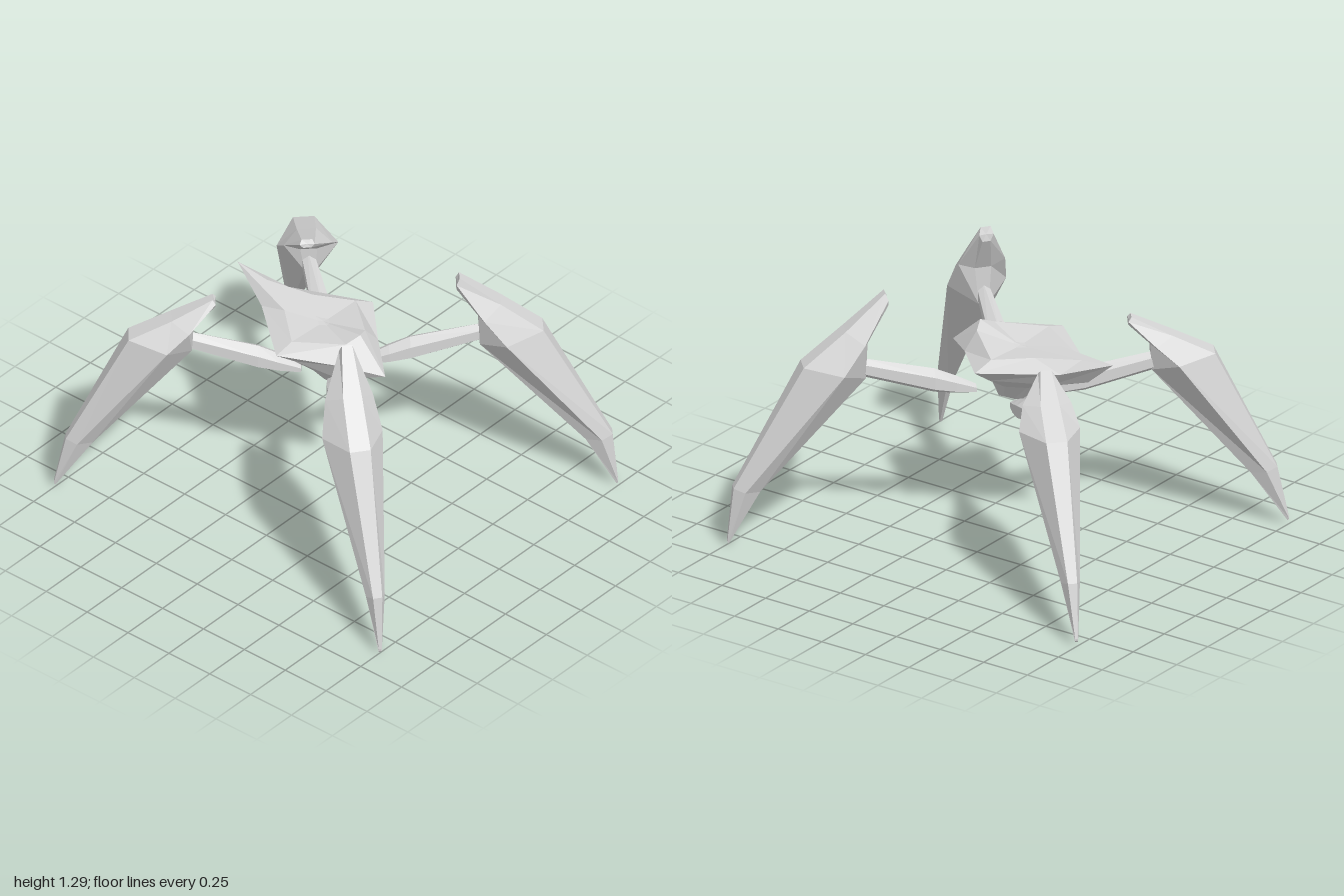
import * as THREE from 'three';

const V = (x, y, z) => new THREE.Vector3(x, y, z);
const lerp = (a, b, t) => a + (b - a) * t;

// Closed faceted solid through a list of equal-sized rings, ends closed by fans
function loft(rings, material, name) {
  const pos = [];
  const tri = (a, b, c) => pos.push(a, b, c);
  const n = rings[0].length;
  for (let i = 0; i < rings.length - 1; i++) {
    for (let j = 0; j < n; j++) {
      const k = (j + 1) % n;
      tri(rings[i][j], rings[i][k], rings[i + 1][k]);
      tri(rings[i][j], rings[i + 1][k], rings[i + 1][j]);
    }
  }
  const cap = (ring, flip) => {
    const c = ring.reduce((s, p) => s.add(p), V(0, 0, 0)).divideScalar(n);
    for (let j = 0; j < n; j++) {
      const k = (j + 1) % n;
      if (flip) tri(c, ring[k], ring[j]);
      else tri(c, ring[j], ring[k]);
    }
  };
  cap(rings[0], true);
  cap(rings[rings.length - 1], false);
  // Turn every face outward: a positive volume means outward winding
  let volume = 0;
  for (let i = 0; i < pos.length; i += 3) {
    volume += pos[i].dot(V(0, 0, 0).crossVectors(pos[i + 1], pos[i + 2]));
  }
  if (volume < 0) {
    for (let i = 0; i < pos.length; i += 3) [pos[i + 1], pos[i + 2]] = [pos[i + 2], pos[i + 1]];
  }
  const g = new THREE.BufferGeometry().setFromPoints(pos);
  g.computeVertexNormals();
  const mesh = new THREE.Mesh(g, material);
  mesh.name = name;
  return mesh;
}

// Blade sections: t runs from top to foot; h is +1 at the top, 0 at the knee, -1 at the foot
// Each: share of sideways bow, then outer, side and inner edges as [t, h, half width]
const bladeSections = (shin) => [
  [0, [0, 1, 0.025], [-0.02, 0.9, 0.035], [-0.02, 0.8, 0.02]],
  [0.7, [0.26, 0.5, 0.045], [0.15, 0.36, 0.115], [0.12, 0.3, 0.04]],
  [1, [0.53, 0, 0.05], [0.29, -0.02, 0.145], [0.13, -0.09, 0.025]],
  [0.3, [shin, -0.68, 0.022], [shin - 0.07, -0.7, 0.045], [shin - 0.17, -0.71, 0.015]],
  [0, [1, -0.98, 0.006], [1, -0.99, 0.008], [0.99, -1, 0.005]],
];

function blade(leg, material) {
  const { top, knee, foot, bow, shin } = leg;
  const along = V(foot.x - top.x, 0, foot.z - top.z).normalize();
  const side = V(along.z, 0, -along.x);
  const rings = bladeSections(shin).map(([share, o, s, i]) => {
    const at = ([t, h, w], sign) => V(
      lerp(top.x, foot.x, t),
      h > 0 ? lerp(knee, top.y, h) : lerp(knee, foot.y, -h),
      lerp(top.z, foot.z, t),
    ).addScaledVector(side, w * sign + bow * share);
    return [at(o, -1), at(o, 1), at(s, 1), at(i, 1), at(i, -1), at(s, -1)];
  });
  return loft(rings, material, 'legBlade');
}

// Arm: hexagonal strut, slim at the hip and thickest before the middle
function arm(leg, material) {
  const { hip, elbow, wrist } = leg;
  const along = V(wrist.x - hip.x, 0, wrist.z - hip.z).normalize();
  const side = V(along.z, 0, -along.x);
  const stations = [
    [hip, 0.03, 0.022],
    [hip.clone().lerp(elbow, 0.5), 0.048, 0.045],
    [elbow, 0.055, 0.06],
    [wrist, 0.034, 0.046],
  ];
  const rings = stations.map(([p, w, h]) => Array.from({ length: 6 }, (_, i) => {
    const a = (i / 6) * Math.PI * 2 + Math.PI / 6;
    return p.clone().addScaledVector(side, Math.cos(a) * w).add(V(0, Math.sin(a) * h, 0));
  }));
  return loft(rings, material, 'legArm');
}

// Body rings, each going round from the tail by the left side to the front
const bodyRings = [
  // raised deck
  [[0, 1, -0.42], [0.07, 0.98, -0.2], [0.18, 0.965, -0.03], [0, 0.995, 0.18],
    [-0.07, 1.02, 0.21], [-0.14, 0.99, 0.18], [-0.27, 0.975, -0.04], [-0.11, 0.98, -0.22]],
  // outer rim with tail, side points and nose
  [[0, 1.02, -0.6], [0.085, 0.94, -0.36], [0.27, 0.92, 0], [0.07, 0.91, 0.2],
    [-0.09, 0.87, 0.38], [-0.2, 0.91, 0.21], [-0.37, 0.945, -0.05], [-0.11, 0.94, -0.36]],
  // underside
  [[-0.01, 0.89, -0.45], [0.06, 0.86, -0.29], [0.15, 0.84, 0], [0.03, 0.8, 0.16],
    [-0.08, 0.81, 0.26], [-0.17, 0.8, 0.16], [-0.26, 0.86, -0.03], [-0.11, 0.86, -0.29]],
  // keel root
  [[-0.06, 0.77, -0.14], [-0.01, 0.77, -0.1], [0.03, 0.765, 0], [0, 0.755, 0.09],
    [-0.07, 0.75, 0.14], [-0.13, 0.755, 0.09], [-0.16, 0.765, 0], [-0.11, 0.77, -0.1]],
  // keel
  [[-0.06, 0.68, -0.08], [-0.05, 0.68, -0.04], [-0.045, 0.675, 0], [-0.05, 0.67, 0.06],
    [-0.065, 0.66, 0.1], [-0.08, 0.67, 0.06], [-0.085, 0.675, 0], [-0.075, 0.68, -0.04]],
];

function body(material) {
  const rings = bodyRings.map((r) => r.map((p) => V(...p)));
  // Shallow dish in the middle of the deck
  const centre = V(-0.04, 0.96, -0.04);
  const dish = rings[0].map((p) => centre.clone().lerp(p, 0.15));
  return loft([dish, ...rings], material, 'body');
}

const legs = [
  { name: 'frontLeftLeg', top: V(0.35, 1.25, 0.46), knee: 0.92, foot: V(0.865, 0.01, 0.995),
    bow: 0.035, shin: 0.965,
    hip: V(0.09, 0.75, 0.12), elbow: V(0.23, 0.805, 0.26), wrist: V(0.46, 0.89, 0.51) },
  { name: 'frontRightLeg', top: V(-0.45, 1.29, 0.45), knee: 0.94, foot: V(-0.86, 0, 1),
    bow: -0.02, shin: 0.965,
    hip: V(-0.15, 0.755, 0.11), elbow: V(-0.28, 0.815, 0.25), wrist: V(-0.54, 0.91, 0.53) },
  { name: 'backLeftLeg', top: V(0.3, 1.06, -0.43), knee: 0.88, foot: V(0.855, 0.02, -1),
    bow: -0.025, shin: 0.925,
    hip: V(0.07, 0.715, -0.09), elbow: V(0.19, 0.765, -0.24), wrist: V(0.41, 0.855, -0.52) },
  { name: 'backRightLeg', top: V(-0.37, 1.1, -0.44), knee: 0.9, foot: V(-0.855, 0.02, -1),
    bow: 0.017, shin: 0.925,
    hip: V(-0.13, 0.72, -0.1), elbow: V(-0.25, 0.775, -0.26), wrist: V(-0.47, 0.87, -0.54) },
];

export function createModel() {
  const grey = new THREE.MeshStandardMaterial({ color: 0xd8d8d8, flatShading: true });
  grey.name = 'shellGrey';
  const model = new THREE.Group();
  model.name = 'fourLeggedWalker';

  model.add(body(grey));

  for (const leg of legs) {
    const group = new THREE.Group();
    group.name = leg.name;
    group.add(arm(leg, grey), blade(leg, grey));
    model.add(group);
  }
  return model;
}
